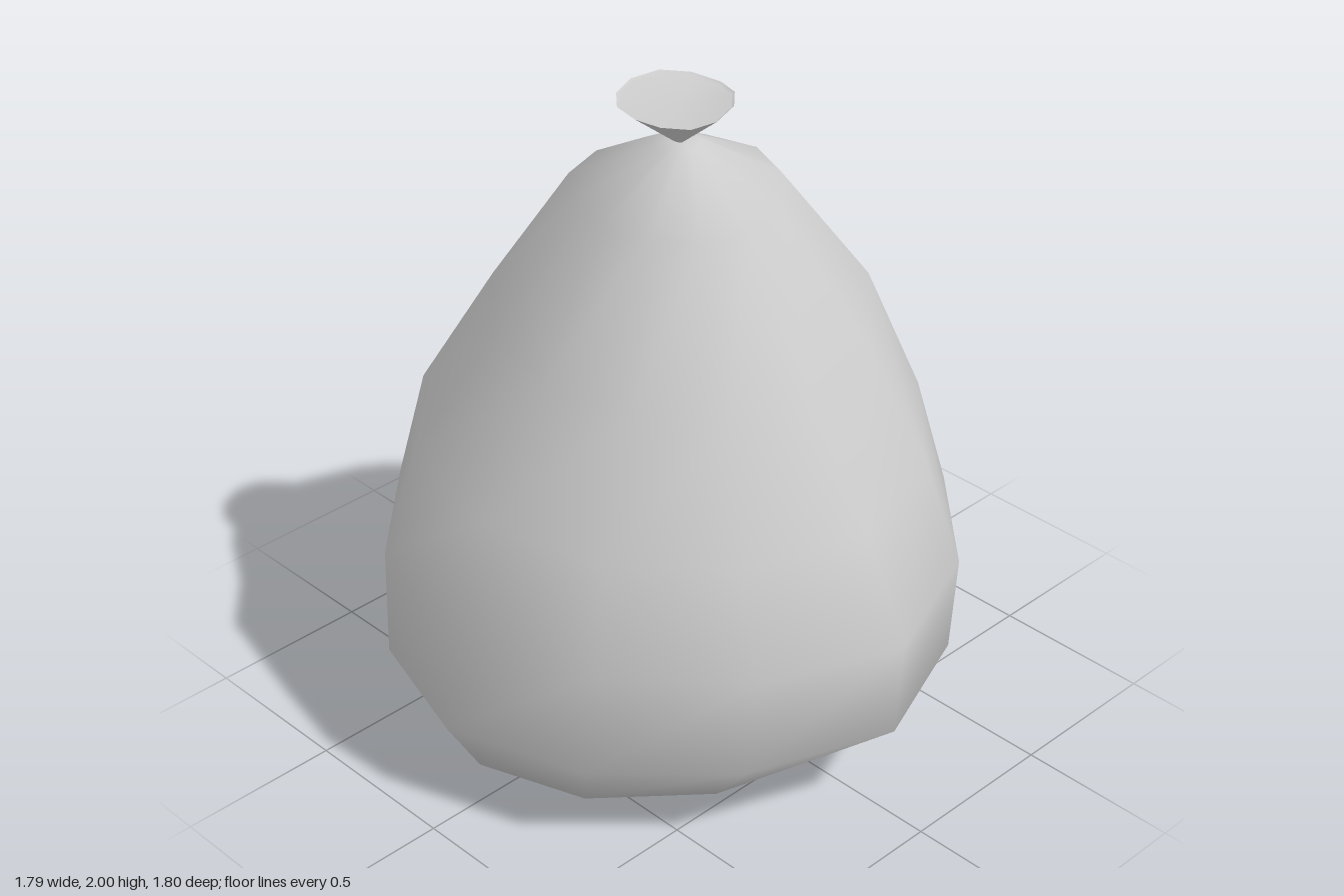
import * as THREE from 'three';

const SIDES = 12;
const material = new THREE.MeshStandardMaterial({ color: 0xcccccc, side: THREE.DoubleSide });

// Joins rings of points (lists of SIDES vectors, bottom to top) into a smooth skin.
// Optional start and end points close the skin with a fan.
function loft(name, rings, start, end) {
  const points = rings.flat();
  const index = [];
  for (let r = 0; r < rings.length - 1; r++) {
    for (let j = 0; j < SIDES; j++) {
      const k = (j + 1) % SIDES;
      const a = r * SIDES + j, b = r * SIDES + k;
      index.push(a, b, b + SIDES, a, b + SIDES, a + SIDES);
    }
  }
  const last = (rings.length - 1) * SIDES;
  for (const [tip, base, flip] of [[start, 0, true], [end, last, false]]) {
    if (!tip) continue;
    const t = points.push(tip) - 1;
    for (let j = 0; j < SIDES; j++) {
      const a = base + j, b = base + (j + 1) % SIDES;
      index.push(...(flip ? [b, a, t] : [a, b, t]));
    }
  }
  const geometry = new THREE.BufferGeometry().setFromPoints(points);
  geometry.setIndex(index);
  geometry.computeVertexNormals();
  const mesh = new THREE.Mesh(geometry, material);
  mesh.name = name;
  return mesh;
}

// Uneven oval ring: each direction is given as [reach, height]; zMid shifts the side points
// and dent pulls the front diagonals inwards.
function ring({ left, right, front, back, zMid = 0, dent = 0 }) {
  return Array.from({ length: SIDES }, (_, j) => {
    const t = (j / SIDES) * Math.PI * 2;
    const s = Math.sin(t), c = Math.cos(t);
    const side = s > 0 ? left : right;
    const face = c > 0 ? front : back;
    const pull = c > 0 ? dent * Math.abs(Math.sin(2 * t)) : 0;
    return new THREE.Vector3(
      s * (side[0] - pull * 0.6),
      s * s * side[1] + c * c * face[1],
      zMid * s * s + c * (face[0] - pull)
    );
  });
}

export function createModel() {
  const group = new THREE.Group();
  group.name = 'tiedSack';

  // Sagging body; every row is one ring: left, right, front, back, zMid, dent
  const bodyRows = [
    [[0.40, 0.01], [0.42, 0.02], [0.32, 0.02], [0.36, 0.02], -0.02, 0],
    [[0.72, 0.085], [0.79, 0.10], [0.66, 0.10], [0.65, 0.10], -0.03, 0.02],
    [[0.88, 0.29], [0.90, 0.29], [0.88, 0.30], [0.83, 0.30], -0.04, 0.05],
    [[0.89, 0.60], [0.86, 0.61], [0.90, 0.61], [0.90, 0.61], -0.04, 0.05],
    [[0.78, 0.97], [0.75, 0.94], [0.75, 0.91], [0.82, 0.97], -0.03, 0.02],
    [[0.61, 1.38], [0.50, 1.29], [0.53, 1.25], [0.60, 1.36], -0.02, 0],
    [[0.33, 1.73], [0.29, 1.70], [0.27, 1.68], [0.34, 1.72], -0.02, 0],
    [[0.08, 1.86], [0.06, 1.85], [0.05, 1.86], [0.09, 1.86], -0.01, 0],
  ];
  const bodyRings = bodyRows.map(([left, right, front, back, zMid, dent]) =>
    ring({ left, right, front, back, zMid, dent }));
  group.add(loft('body', bodyRings, new THREE.Vector3(0, 0, 0), new THREE.Vector3(0.01, 1.875, -0.015)));

  // Flared collar above the pinched neck, with a wavy rim
  const neck = ring({ left: [0.03, 1.87], right: [0.01, 1.87], front: [0.01, 1.87], back: [0.03, 1.87], zMid: -0.01 });
  const rim = ring({ left: [0.182, 1.99], right: [0.15, 1.975], front: [0.145, 1.98], back: [0.195, 1.995], zMid: -0.02 });
  rim.forEach((p, j) => { p.y += 0.006 * Math.sin(j * Math.PI / 2); });
  group.add(loft('collar', [neck, rim]));

  // Shallow dish closing the collar
  const centre = new THREE.Vector3(0.016, 1.965, -0.022);
  const lip = rim.map((p) => p.clone().lerp(centre, 0.06).setY(p.y - 0.006));
  group.add(loft('collarDish', [rim.map((p) => p.clone()), lip], null, centre));

  return group;
}
